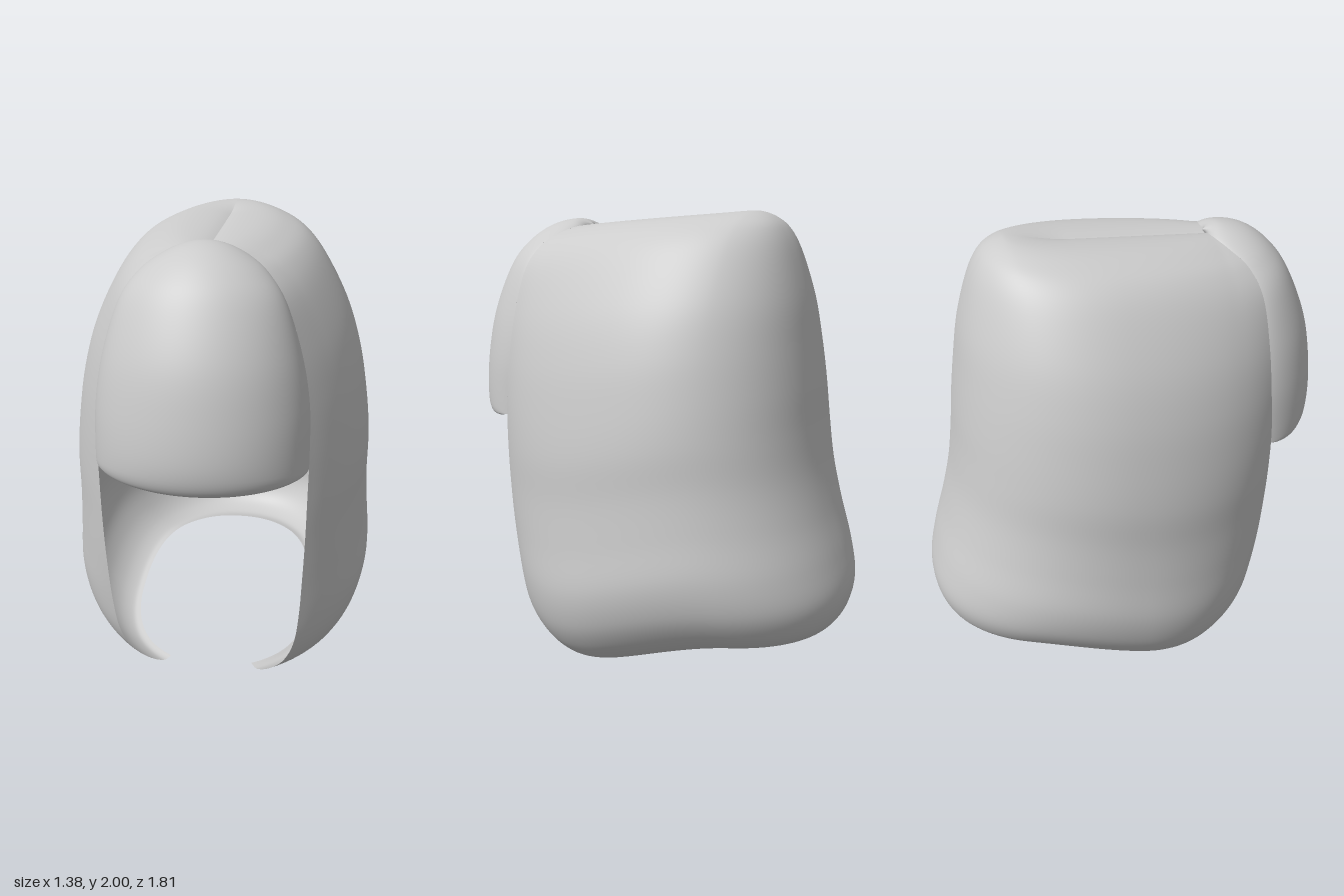
import * as THREE from 'three';

// Catmull-Rom blend between table rows, u in 0..1
function sampleRow(rows, u) {
  const f = u * (rows.length - 1);
  const i = Math.min(Math.floor(f), rows.length - 2);
  const at = (k) => rows[Math.max(0, Math.min(rows.length - 1, k))];
  const s = f - i;
  return rows[0].map((_, c) => {
    const a = at(i - 1)[c], b = at(i)[c], d = at(i + 1)[c], e = at(i + 2)[c];
    return b + 0.5 * s * (d - a + s * (2 * a - 5 * b + 4 * d - e + s * (3 * (b - d) + e - a)));
  });
}

// Smooth grid surface from point(u, v); v runs from the left side to the right
function surface(point, nu, nv, flip) {
  const pos = [], idx = [];
  for (let i = 0; i <= nu; i++) {
    for (let j = 0; j <= nv; j++) pos.push(...point(i / nu, j / nv));
  }
  for (let i = 0; i < nu; i++) {
    for (let j = 0; j < nv; j++) {
      const a = i * (nv + 1) + j, b = a + nv + 1;
      if (flip) idx.push(a, a + 1, b, b, a + 1, b + 1);
      else idx.push(a, b, a + 1, b, b + 1, a + 1);
    }
  }
  const g = new THREE.BufferGeometry();
  g.setAttribute('position', new THREE.Float32BufferAttribute(pos, 3));
  g.setIndex(idx);
  g.computeVertexNormals();
  return g;
}

// Hair shell rows, crown to hem: height fraction, front edge x, front edge z, half width, back depth
const SHELL = [
  [1, 0, 0.40, 0, 0.40],
  [0.997, 0.09, 0.405, 0.16, 0.46],
  [0.983, 0.17, 0.44, 0.265, 0.52],
  [0.955, 0.25, 0.495, 0.36, 0.57],
  [0.9, 0.325, 0.535, 0.445, 0.615],
  [0.8, 0.39, 0.552, 0.545, 0.665],
  [0.7, 0.425, 0.563, 0.607, 0.695],
  [0.6, 0.432, 0.58, 0.643, 0.72],
  [0.5, 0.43, 0.585, 0.665, 0.74],
  [0.4, 0.427, 0.58, 0.667, 0.768],
  [0.3, 0.42, 0.57, 0.678, 0.813],
  [0.2, 0.41, 0.55, 0.69, 0.868],
  [0.12, 0.39, 0.53, 0.66, 0.90],
  [0.06, 0.345, 0.50, 0.60, 0.885],
  [0.02, 0.28, 0.46, 0.53, 0.84],
  [0, 0.22, 0.42, 0.46, 0.76],
  [0.004, 0.19, 0.39, 0.425, 0.69],
];

// Fringe centre line, crown to hem: z, y
const FRINGE = [
  [0.385, 1.94],
  [0.46, 1.967],
  [0.58, 1.943],
  [0.68, 1.875],
  [0.76, 1.77],
  [0.85, 1.57],
  [0.893, 1.37],
  [0.905, 1.19],
  [0.875, 1.085],
  [0.80, 1.06],
];

function shellPoint(u, v) {
  const [t, xf, zf, w, back] = sampleRow(SHELL, u);
  const z0 = -0.05;
  const phi = Math.acos(w > 1e-4 ? Math.min(0.95, xf / w) : 0.56);
  // Angle from the front edge round to the back, mirrored on the right
  const side = v <= 0.5 ? 1 : -1;
  const k = 1 - Math.abs(2 * v - 1);
  const th = phi - k * (phi + Math.PI / 2);
  const c = Math.max(0, Math.cos(th)), s = Math.sin(th);
  const x = side * w * (th > 0 ? c : c ** 0.9);
  const z = z0 + (th > 0 ? (s * (zf - z0)) / Math.sin(phi) : -((-s) ** 0.9) * (back + z0));
  // Sloping crown with a sharp parting, and a hem raised at the back
  const parting = 0.02 * Math.exp(-Math.abs(x) / 0.045) * THREE.MathUtils.smoothstep(z, -0.42, -0.2);
  const top = 1.97 - 0.07 * THREE.MathUtils.clamp(z, -0.45, 0.4) - parting;
  const hem = 0.2 * (1 - THREE.MathUtils.smoothstep(z, -0.55, 0.3));
  return [x, hem + (top - hem) * t, z];
}

// The fringe springs from the front edge of the shell and bulges forward
function fringePoint(u, v) {
  const [front, y] = sampleRow(FRINGE, u);
  const row = Math.min(u * (FRINGE.length - 1), 7.33);
  const [ex, ey, ez] = shellPoint(row / (SHELL.length - 1), 0);
  const a = Math.PI * v;
  const s = Math.max(0, Math.sin(a));
  return [ex * Math.cos(a), ey + (y - ey) * s, ez + (front - ez) * s ** 1.15];
}

export function createModel() {
  const group = new THREE.Group();
  group.name = 'bobHair';
  const hair = new THREE.MeshStandardMaterial({ color: 0xcccccc, side: THREE.DoubleSide });
  hair.name = 'hairGrey';

  const shell = new THREE.Mesh(surface(shellPoint, 96, 120, true), hair);
  shell.name = 'hairShell';
  const fringe = new THREE.Mesh(surface(fringePoint, 63, 60, true), hair);
  fringe.name = 'fringe';
  group.add(shell, fringe);
  return group;
}
